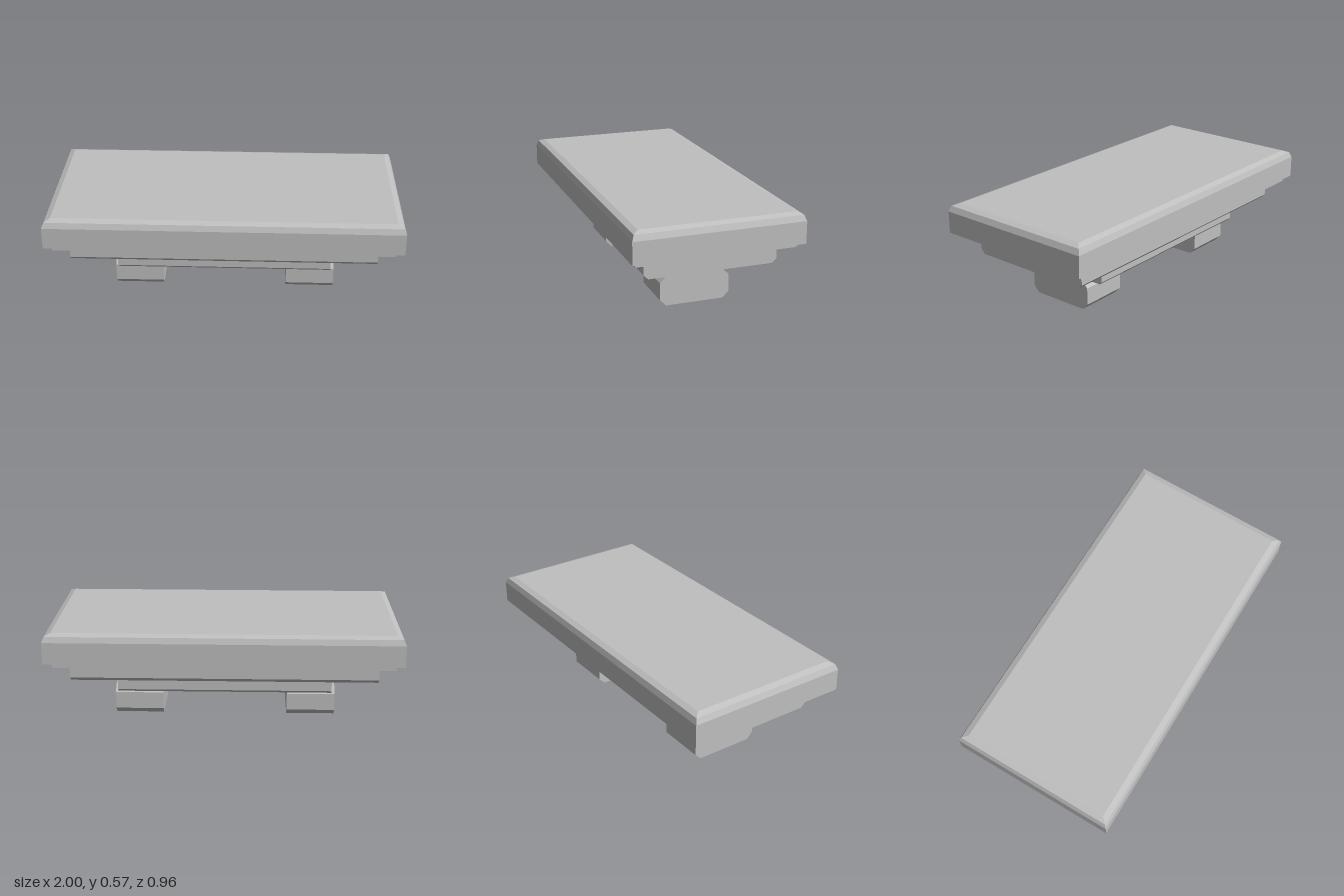
import * as THREE from 'three';

// Solid made of stacked rectangles, bottom to top: [y, half width, half depth]
function stackedBlock(levels) {
  const rings = levels.map(([y, hx, hz]) => [
    [-hx, y, hz], [hx, y, hz], [hx, y, -hz], [-hx, y, -hz],
  ]);
  const positions = [];
  const quad = (a, b, c, d) => positions.push(...a, ...b, ...c, ...a, ...c, ...d);
  for (let r = 0; r < rings.length - 1; r++) {
    for (let i = 0; i < 4; i++) {
      const j = (i + 1) % 4;
      quad(rings[r][i], rings[r][j], rings[r + 1][j], rings[r + 1][i]);
    }
  }
  const top = rings[rings.length - 1];
  const [p, q, s, t] = rings[0];
  quad(...top);
  quad(t, s, q, p);
  const geometry = new THREE.BufferGeometry();
  geometry.setAttribute('position', new THREE.Float32BufferAttribute(positions, 3));
  geometry.computeVertexNormals();
  return geometry;
}

export function createModel() {
  const group = new THREE.Group();
  const grey = new THREE.MeshStandardMaterial({ color: 0xbfbfbf, flatShading: true });
  grey.name = 'grey';

  const add = (name, levels, x = 0) => {
    const mesh = new THREE.Mesh(stackedBlock(levels), grey);
    mesh.name = name;
    mesh.position.x = x;
    group.add(mesh);
  };

  // Slab with a two-step bevel around its upper edge
  add('topSlab', [
    [0.405, 1, 0.478], [0.53, 1, 0.478], [0.562, 0.986, 0.466], [0.575, 0.954, 0.434],
  ]);

  // Stepped underside, chamfered along the front and back
  add('ledge', [[0.375, 0.955, 0.448], [0.405, 0.955, 0.448]], -0.002);
  add('upperStep', [
    [0.267, 0.87, 0.35], [0.29, 0.87, 0.374], [0.375, 0.87, 0.374],
  ], -0.002);
  add('lowerStep', [
    [0.172, 0.613, 0.272], [0.187, 0.613, 0.286], [0.267, 0.613, 0.286],
  ], -0.002);

  // Pair of feet with all four long edges chamfered
  for (const side of [-1, 1]) {
    add(side > 0 ? 'leftFoot' : 'rightFoot', [
      [0, 0.139, 0.167], [0.036, 0.139, 0.202], [0.135, 0.139, 0.202], [0.172, 0.139, 0.167],
    ], side * 0.499 - 0.002);
  }
  return group;
}
